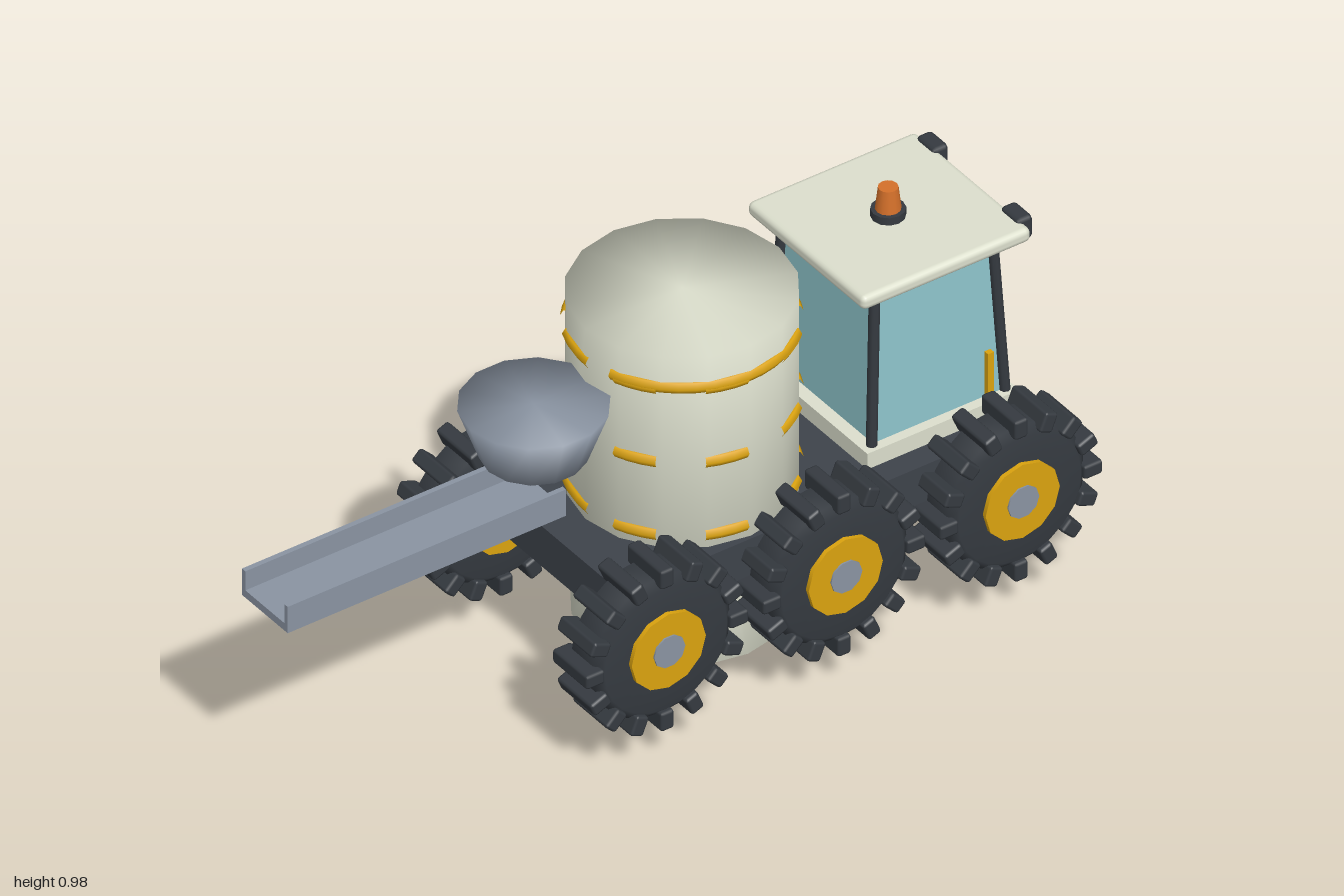
import * as THREE from 'three';
import { mergeVertices } from 'three/addons/utils/BufferGeometryUtils.js';
import { RoundedBoxGeometry } from 'three/addons/geometries/RoundedBoxGeometry.js';

const mat = (name, color) => {
  const m = new THREE.MeshStandardMaterial({ color });
  m.name = name;
  return m;
};

// Share vertices so shading flows across the edges
function soften(geo) {
  geo.deleteAttribute('normal');
  geo.deleteAttribute('uv');
  const g = mergeVertices(geo, 1e-4);
  g.computeVertexNormals();
  return g;
}

export function createModel() {
  const model = new THREE.Group();
  model.name = 'mixerTruck';
  const cream = mat('cream paint', 0xdcdfcd);
  const rubber = mat('black rubber', 0x353a40);
  const frame = mat('dark frame', 0x3e434b);
  const yellow = mat('yellow paint', 0xdba30f);
  const steel = mat('grey steel', 0x8a94a2);
  const glass = mat('blue glass', 0x8dc3ca);
  const orange = mat('orange lamp', 0xd4702a);
  const earth = mat('brown rock', 0x96552f);

  const add = (name, geo, material, x = 0, y = 0, z = 0, parent = model) => {
    const mesh = new THREE.Mesh(geo, material);
    mesh.name = name;
    mesh.position.set(x, y, z);
    parent.add(mesh);
    return mesh;
  };
  const box = (name, w, h, d, material, x, y, z, parent) =>
    add(name, new THREE.BoxGeometry(w, h, d), material, x, y, z, parent);
  const rod = (name, a, b, r, material, sides = 8) => {
    const from = new THREE.Vector3(...a), to = new THREE.Vector3(...b);
    const dir = to.clone().sub(from);
    const mesh = add(name, new THREE.CylinderGeometry(r, r, dir.length(), sides), material);
    mesh.position.copy(from).lerp(to, 0.5);
    mesh.quaternion.setFromUnitVectors(new THREE.Vector3(0, 1, 0), dir.normalize());
    return mesh;
  };

  // Chassis and rear bumper
  box('chassis', 0.54, 0.11, 1.11, frame, 0, 0.365, -0.325);
  rod('rearBumper', [-0.25, 0.32, -0.94], [0.25, 0.32, -0.94], 0.026, steel, 12);

  // Wheels: tyre, tread lugs, rim and cap, all turned about x
  const profile = [[0.08, -0.058], [0.165, -0.058], [0.186, -0.04], [0.186, 0.04], [0.165, 0.058], [0.08, 0.058]]
    .map(([r, h]) => new THREE.Vector2(r, h));
  const tyreGeo = new THREE.LatheGeometry(profile, 24);
  const rimGeo = new THREE.CylinderGeometry(0.1, 0.1, 0.138, 12);
  const capGeo = new THREE.CylinderGeometry(0.042, 0.042, 0.146, 10);
  const lugGeo = new RoundedBoxGeometry(0.036, 0.133, 0.05, 1, 0.007);
  const lugCount = 16;
  for (const side of [-1, 1]) {
    for (const z of [0.177, -0.3, -0.777]) {
      const wheel = new THREE.Group();
      wheel.name = 'wheel';
      wheel.position.set(side * 0.306, 0.303, z);
      wheel.rotation.z = -Math.PI / 2;
      add('tyre', tyreGeo, rubber, 0, 0, 0, wheel);
      add('rim', rimGeo, yellow, 0, 0, 0, wheel);
      add('hubCap', capGeo, steel, 0, 0, 0, wheel);
      for (let i = 0; i < lugCount; i++) {
        const a = (i / lugCount) * Math.PI * 2;
        const lug = add('treadLug', lugGeo, rubber, Math.sin(a) * 0.194, 0, Math.cos(a) * 0.194, wheel);
        lug.rotation.y = a;
      }
      model.add(wheel);
    }
  }

  // Mixing drum and discharge cone
  const drumZ = -0.125;
  add('drum', soften(new THREE.CylinderGeometry(0.261, 0.261, 0.54, 16)), cream, 0, 0.67, drumZ);
  add('dischargeCone', soften(new THREE.CylinderGeometry(0.115, 0.25, 0.24, 16)), cream, 0, 0.21, drumZ);

  // Broken yellow bands: short arcs centred on these angles, from the front towards +x
  const band = (y, centre, sweep) => {
    const section = new THREE.TorusGeometry(0.254, 0.0155, 6, Math.max(3, Math.round(sweep / 9)), THREE.MathUtils.degToRad(sweep));
    section.rotateX(-Math.PI / 2);
    const mesh = add('drumBand', section, yellow, 0, y, drumZ);
    mesh.rotation.y = THREE.MathUtils.degToRad(centre - sweep / 2 - 90);
  };
  const dashes = [-50, -11, 31, 77, 122, 163, 200, 235, 272];
  for (const y of [0.453, 0.652, 0.853])
    for (const a of dashes) band(y, a, a === -11 ? 27 : 22);
  band(0.858, 75, 115);

  // Rock under the cone
  const rock = add('rock', soften(new THREE.IcosahedronGeometry(1, 1)), earth, 0.01, 0.11, -0.3);
  rock.scale.set(0.19, 0.11, 0.2);
  rock.rotation.y = 0.3;

  // Loading hopper
  add('hopper', soften(new THREE.CylinderGeometry(0.171, 0.122, 0.135, 14)), steel, 0, 0.728, 0.275);

  // Chute: U-shaped channel
  const u = new THREE.Shape([[-0.087, 0.53], [0.087, 0.53], [0.087, 0.602], [0.074, 0.602], [0.074, 0.55],
    [-0.074, 0.55], [-0.074, 0.602], [-0.087, 0.602]].map(([x, y]) => new THREE.Vector2(x, y)));
  add('chute', new THREE.ExtrudeGeometry(u, { depth: 0.75, bevelEnabled: false }), steel, 0, 0, 0.25);

  // Ladder rungs
  for (const y of [0.29, 0.44, 0.592]) box('ladderRung', 0.172, 0.013, 0.022, steel, -0.278, y, 0.168);

  // Cab: sill, tapered glass, posts and roof
  box('cabSill', 0.42, 0.045, 0.41, cream, 0, 0.44, -0.68);
  const glassGeo = new THREE.BoxGeometry(0.37, 0.4, 0.345);
  const p = glassGeo.attributes.position;
  for (let i = 0; i < p.count; i++)
    if (p.getY(i) > 0) p.setXYZ(i, p.getX(i) * 0.93, p.getY(i), p.getZ(i) * 0.91);
  glassGeo.computeVertexNormals();
  add('cabGlass', glassGeo, glass, 0, 0.66, -0.68);
  for (const s of [-1, 1]) {
    rod('frontPost', [s * 0.188, 0.45, -0.502], [s * 0.174, 0.87, -0.52], 0.013, rubber);
    rod('rearPost', [s * 0.188, 0.45, -0.862], [s * 0.174, 0.87, -0.838], 0.013, rubber);
    box('grabHandle', 0.014, 0.13, 0.016, yellow, s * 0.208, 0.535, -0.805);
    add('rearLamp', new RoundedBoxGeometry(0.07, 0.062, 0.042, 1, 0.01), rubber, s * 0.16, 0.88, -0.913);
  }
  add('cabRoof', new RoundedBoxGeometry(0.445, 0.038, 0.455, 2, 0.015), cream, 0, 0.883, -0.683);
  rod('wiper', [0.05, 0.71, -0.853], [-0.12, 0.51, -0.862], 0.005, rubber, 6);

  // Roof beacon
  add('beaconBase', new THREE.CylinderGeometry(0.04, 0.04, 0.02, 12), rubber, 0, 0.912, -0.68);
  add('beacon', new THREE.CylinderGeometry(0.023, 0.03, 0.06, 12), orange, 0, 0.95, -0.68);
  return model;
}
